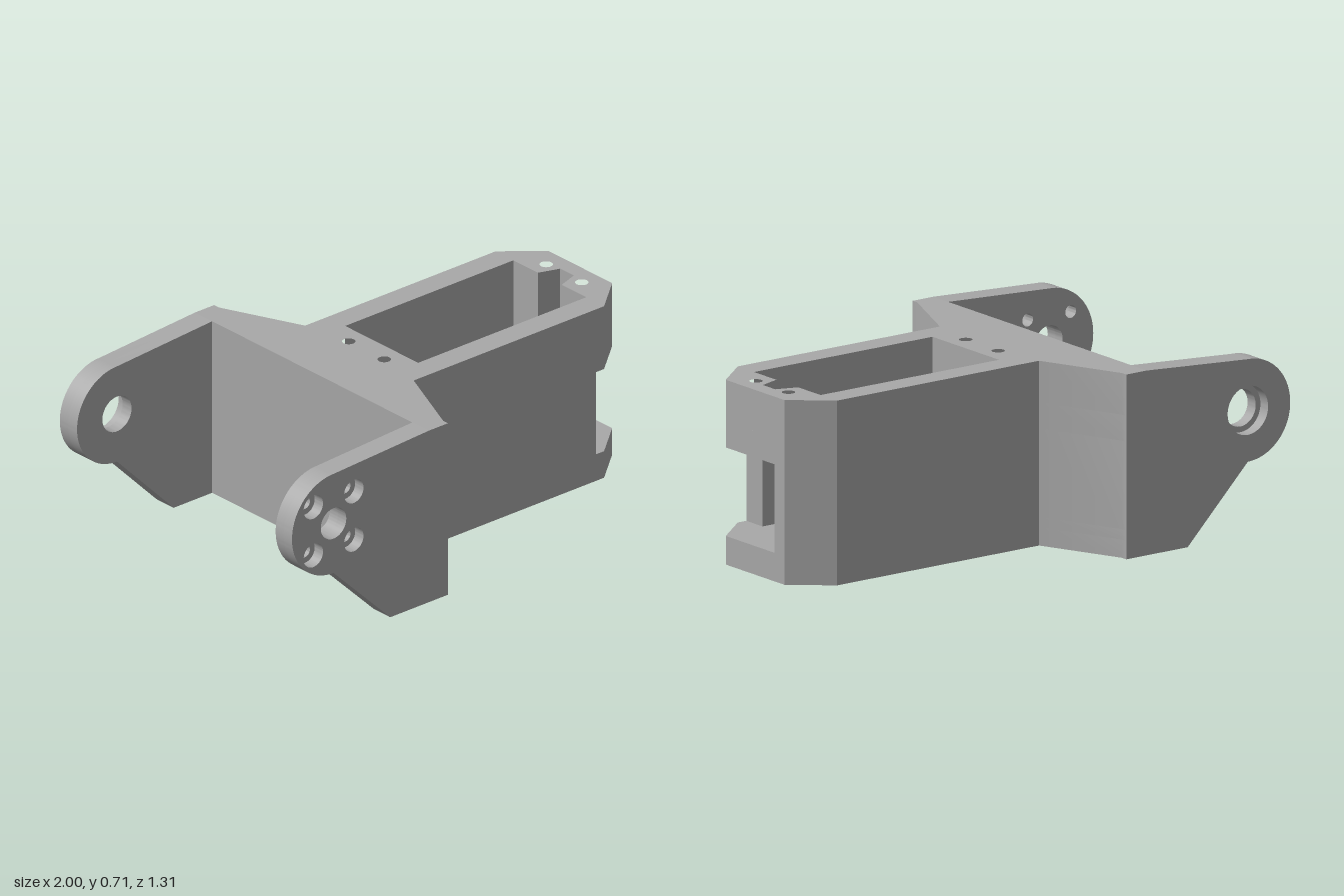
import * as THREE from 'three';
import { toCreasedNormals } from 'three/addons/utils/BufferGeometryUtils.js';

const HEIGHT = 0.71;
const PIVOT = [-0.795, 0.48];

const points = (list) => list.map(([x, y]) => new THREE.Vector2(x, y));

function circle(x, y, r) {
  const path = new THREE.Path();
  path.absarc(x, y, r, 0, Math.PI * 2, true);
  return path;
}

function extrude(shape, depth) {
  const geo = new THREE.ExtrudeGeometry(shape, { depth, bevelEnabled: false, curveSegments: 32 });
  return toCreasedNormals(geo, 0.5);
}

export function createModel() {
  const model = new THREE.Group();
  model.name = 'servoBracket';
  const grey = new THREE.MeshStandardMaterial({ color: 0xa8a8a8 });
  grey.name = 'grey plastic';

  const add = (parent, name, geo) => {
    const mesh = new THREE.Mesh(geo, grey);
    mesh.name = name;
    parent.add(mesh);
  };

  // Body: plan outlines (x, z) stacked in layers up the y axis
  const body = new THREE.Group();
  body.name = 'body';
  model.add(body);

  const yoke = [
    [-0.09, -0.305], [-0.23, -0.63], [-0.23, -0.657], [-0.325, -0.657],
    [-0.325, 0.657], [-0.23, 0.657], [-0.23, 0.63], [-0.09, 0.305],
  ];
  const outline = [[1, -0.18], [0.85, -0.305], ...yoke, [0.85, 0.305], [1, 0.18]];
  const pocket = [
    [0.02, -0.205], [0.85, -0.205], [0.85, -0.067], [0.935, -0.038],
    [0.935, 0.038], [0.85, 0.067], [0.85, 0.205], [0.02, 0.205],
  ];
  // Outline where the side window opens the pocket at the end
  const windowed = [
    [1, -0.18], [0.85, -0.305], ...yoke, [0.81, 0.305], [0.81, 0.205],
    [0.02, 0.205], [0.02, -0.205], [0.85, -0.205], [0.85, -0.12], [1, -0.12],
  ];

  const layer = (name, plan, y0, y1, holes = []) => {
    const shape = new THREE.Shape(points(plan));
    shape.holes.push(...holes);
    const geo = extrude(shape, y1 - y0);
    geo.rotateX(Math.PI / 2);
    geo.translate(0, y1, 0);
    add(body, name, geo);
  };
  const pocketHole = () => new THREE.Path(points(pocket));
  const screwHoles = [];
  for (const x of [-0.055, 0.92]) {
    for (const z of [-0.1, 0.1]) screwHoles.push(circle(x, z, 0.025));
  }
  layer('base', outline, 0, 0.07, [circle(0.65, 0, 0.03)]);
  layer('pocketFloor', outline, 0.07, 0.11);
  layer('windowWalls', windowed, 0.11, 0.45);
  layer('upperWalls', outline, 0.45, 0.55, [pocketHole()]);
  layer('rim', outline, 0.55, HEIGHT, [pocketHole(), ...screwHoles]);

  // Arms: side profile with a rounded end, in two slices for the counterbores
  const armSlice = (parent, name, r, z0, z1, holes) => {
    const [cx, cy] = PIVOT;
    const shape = new THREE.Shape();
    shape.moveTo(-0.325, 0);
    shape.lineTo(-0.325, HEIGHT);
    shape.lineTo(cx, cy + r);
    shape.absarc(cx, cy, r, Math.PI / 2, Math.PI * 1.5, false);
    shape.lineTo(-0.515, 0);
    shape.closePath();
    shape.holes.push(...holes);
    const geo = extrude(shape, z1 - z0);
    geo.translate(0, 0, z0);
    add(parent, name, geo);
  };
  const hornHoles = (r) => {
    const holes = [circle(...PIVOT, 0.063)];
    for (const dx of [-0.1, 0.1]) {
      for (const dy of [-0.1, 0.1]) holes.push(circle(PIVOT[0] + dx, PIVOT[1] + dy, r));
    }
    return holes;
  };

  const frontArm = new THREE.Group();
  frontArm.name = 'frontArm';
  armSlice(frontArm, 'frontArmInner', 0.205, 0.565, 0.61, hornHoles(0.025));
  armSlice(frontArm, 'frontArmOuter', 0.205, 0.61, 0.657, hornHoles(0.048));

  const backArm = new THREE.Group();
  backArm.name = 'backArm';
  armSlice(backArm, 'backArmInner', 0.197, -0.61, -0.56, [circle(...PIVOT, 0.072)]);
  armSlice(backArm, 'backArmOuter', 0.197, -0.657, -0.61, [circle(...PIVOT, 0.094)]);
  model.add(frontArm, backArm);

  return model;
}
